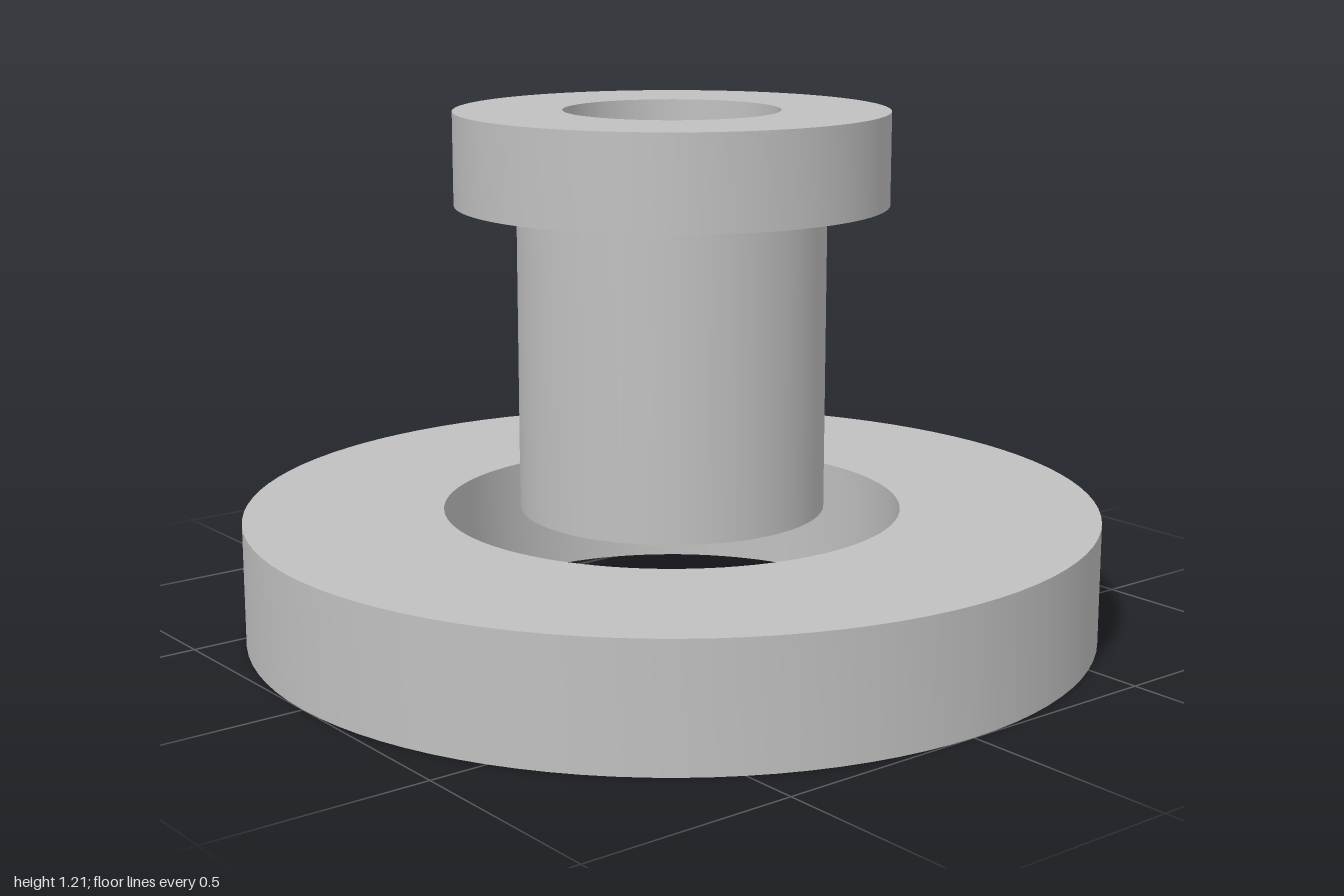
import * as THREE from 'three';
import { toCreasedNormals } from 'three/addons/utils/BufferGeometryUtils.js';

const SEGMENTS = 96;

// Revolve a closed [radius, height] profile, listed upwards along the outside
function turned(name, profile, material) {
  const points = [...profile, profile[0]].map(([r, y]) => new THREE.Vector2(r, y));
  const geometry = toCreasedNormals(new THREE.LatheGeometry(points, SEGMENTS), 0.5);
  const mesh = new THREE.Mesh(geometry, material);
  mesh.name = name;
  return mesh;
}

export function createModel() {
  const grey = new THREE.MeshStandardMaterial({ color: 0xc0c0c0 });
  grey.name = 'plain grey';

  const group = new THREE.Group();
  group.name = 'flangedBushingAndRing';

  // Flat outer ring resting on the ground
  const ringHeight = 0.286;
  group.add(turned('baseRing', [
    [0.536, 0], [1, 0], [1, ringHeight], [0.536, ringHeight],
  ], grey));

  // Flanged sleeve with a straight bore, starting level with the ring's top
  const bore = 0.25, sleeve = 0.357, flange = 0.5;
  const flangeBottom = 1, top = 1.214;
  group.add(turned('flangedSleeve', [
    [bore, ringHeight], [sleeve, ringHeight], [sleeve, flangeBottom],
    [flange, flangeBottom], [flange, top], [bore, top],
  ], grey));

  return group;
}
